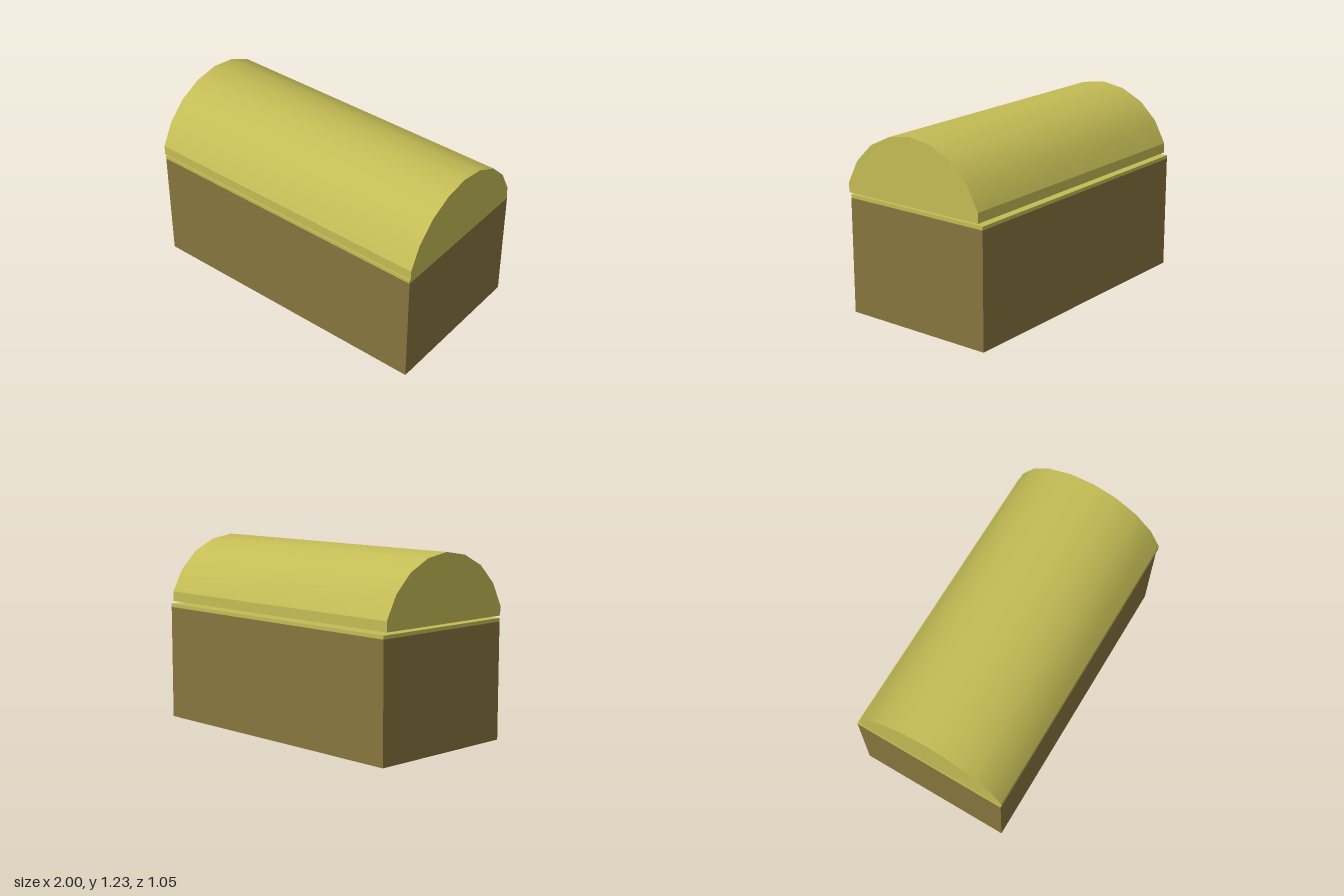
import * as THREE from 'three';
import { toCreasedNormals } from 'three/addons/utils/BufferGeometryUtils.js';

const wood = new THREE.MeshStandardMaterial({ color: 0x87753e });
wood.name = 'brown wood';
const gold = new THREE.MeshStandardMaterial({ color: 0xc4bc55 });
gold.name = 'dull gold';

function block(name, material, width, depth, bottom, top, x) {
  const mesh = new THREE.Mesh(new THREE.BoxGeometry(width, top - bottom, depth), material);
  mesh.name = name;
  mesh.position.set(x, (bottom + top) / 2, 0);
  return mesh;
}

export function createModel() {
  const chest = new THREE.Group();
  chest.name = 'chest';

  // Body and the thin rim on top of it
  chest.add(block('body', wood, 1.99, 1.05, 0, 0.757, -0.005));
  chest.add(block('rim', gold, 1.99, 1.05, 0.757, 0.78, -0.005));

  // Half of the lid's cross-section, from the bottom edge to the crown
  const half = [[0.515, 0.795], [0.515, 0.86], [0.437, 1.008], [0.318, 1.125], [0.165, 1.2]];
  const outline = [
    ...half.map(([z, y]) => new THREE.Vector2(z, y)),
    new THREE.Vector2(0, 1.226),
    ...half.map(([z, y]) => new THREE.Vector2(-z, y)).reverse(),
  ];

  // Lid: smooth vault, with creases at the side bands and the ends
  const vault = new THREE.ExtrudeGeometry(new THREE.Shape(outline), { depth: 2, bevelEnabled: false });
  vault.rotateY(Math.PI / 2);
  const lid = new THREE.Mesh(toCreasedNormals(vault, 0.42), gold);
  lid.name = 'lid';
  lid.position.set(-1, 0, 0.015);
  chest.add(lid);

  return chest;
}
